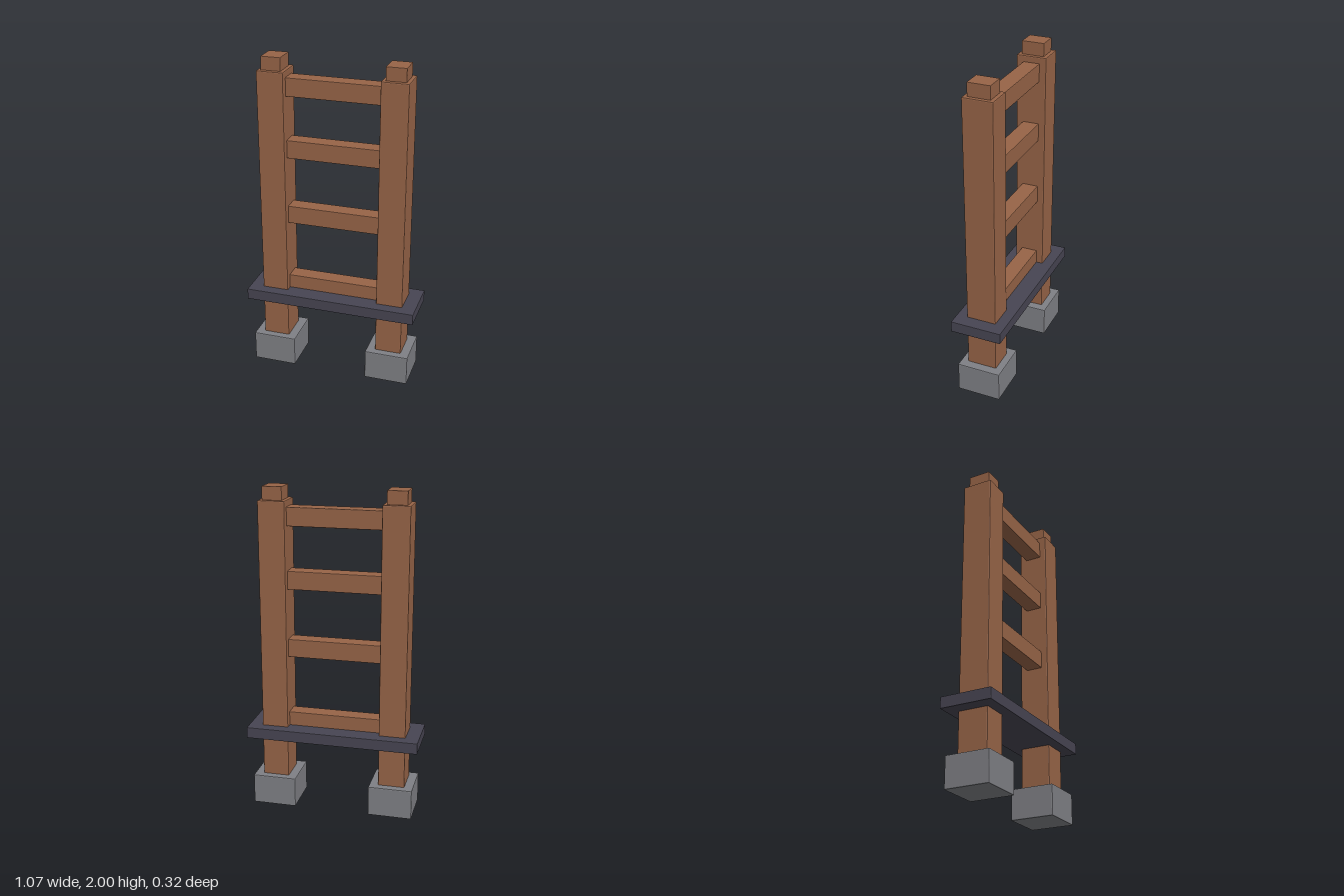
import * as THREE from 'three';
import { RoundedBoxGeometry } from 'three/addons/geometries/RoundedBoxGeometry.js';

export function createModel() {
  const model = new THREE.Group();
  model.name = 'ladderFrame';

  const material = (name, color) => {
    const m = new THREE.MeshStandardMaterial({ color });
    m.name = name;
    return m;
  };
  const wood = material('wood', 0x976447);
  const stone = material('stone', 0x7f8085);
  const slate = material('darkSlate', 0x474552);

  // Box with a narrow chamfer, placed by its bottom and top heights
  function block(name, mat, width, depth, bottom, top, x = 0, bevel = 0.006) {
    const geometry = new RoundedBoxGeometry(width, top - bottom, depth, 1, bevel);
    geometry.computeVertexNormals(); // flat facets on the chamfers
    const mesh = new THREE.Mesh(geometry, mat);
    mesh.name = name;
    mesh.position.set(x, (bottom + top) / 2, 0);
    model.add(mesh);
  }

  // Uprights with stone feet and small caps
  for (const [side, s] of [['left', 1], ['right', -1]]) {
    const x = s * 0.369;
    block(side + 'Foot', stone, 0.272, 0.274, 0, 0.19, x);
    block(side + 'Post', wood, 0.164, 0.186, 0.1, 1.92, x);
    block(side + 'Cap', wood, 0.12, 0.138, 1.88, 2, x, 0.002);
  }

  // Rungs between the posts
  [0.55, 1.022, 1.445, 1.825].forEach((y, i) => {
    block('rung' + (i + 1), wood, 0.62, 0.102, y - 0.056, y + 0.056, 0, 0.004);
  });

  // Wide plank through which both posts pass
  block('plank', slate, 1.07, 0.32, 0.449, 0.519, 0, 0.004);

  return model;
}
